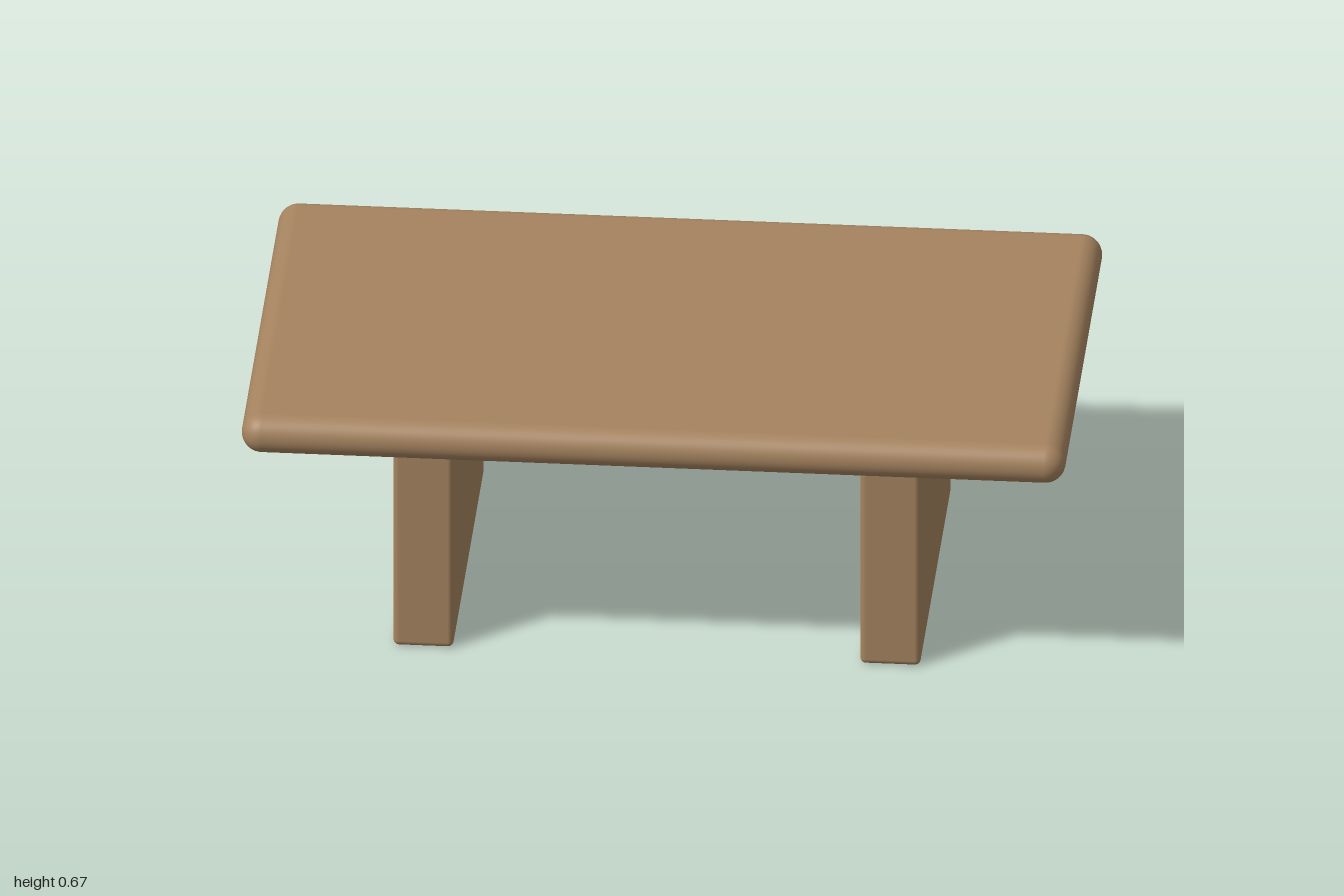
import * as THREE from 'three';
import { RoundedBoxGeometry } from 'three/addons/geometries/RoundedBoxGeometry.js';

export function createModel() {
  const group = new THREE.Group();
  group.name = 'coffeeTable';
  const wood = new THREE.MeshStandardMaterial({ color: 0xa5835f });

  function slab(name, [w, h, d], radius, x, y) {
    const mesh = new THREE.Mesh(new RoundedBoxGeometry(w, h, d, 6, radius), wood);
    mesh.name = name;
    mesh.position.set(x, y, 0);
    group.add(mesh);
  }

  // Table top with fully rounded edges
  slab('tableTop', [2, 0.1, 1.165], 0.0495, 0, 0.62);

  // Two slab legs with softly eased edges
  for (const side of [-1, 1]) {
    slab(side > 0 ? 'leftLeg' : 'rightLeg', [0.146, 0.57, 0.9], 0.014, side * 0.567, 0.285);
  }

  return group;
}
